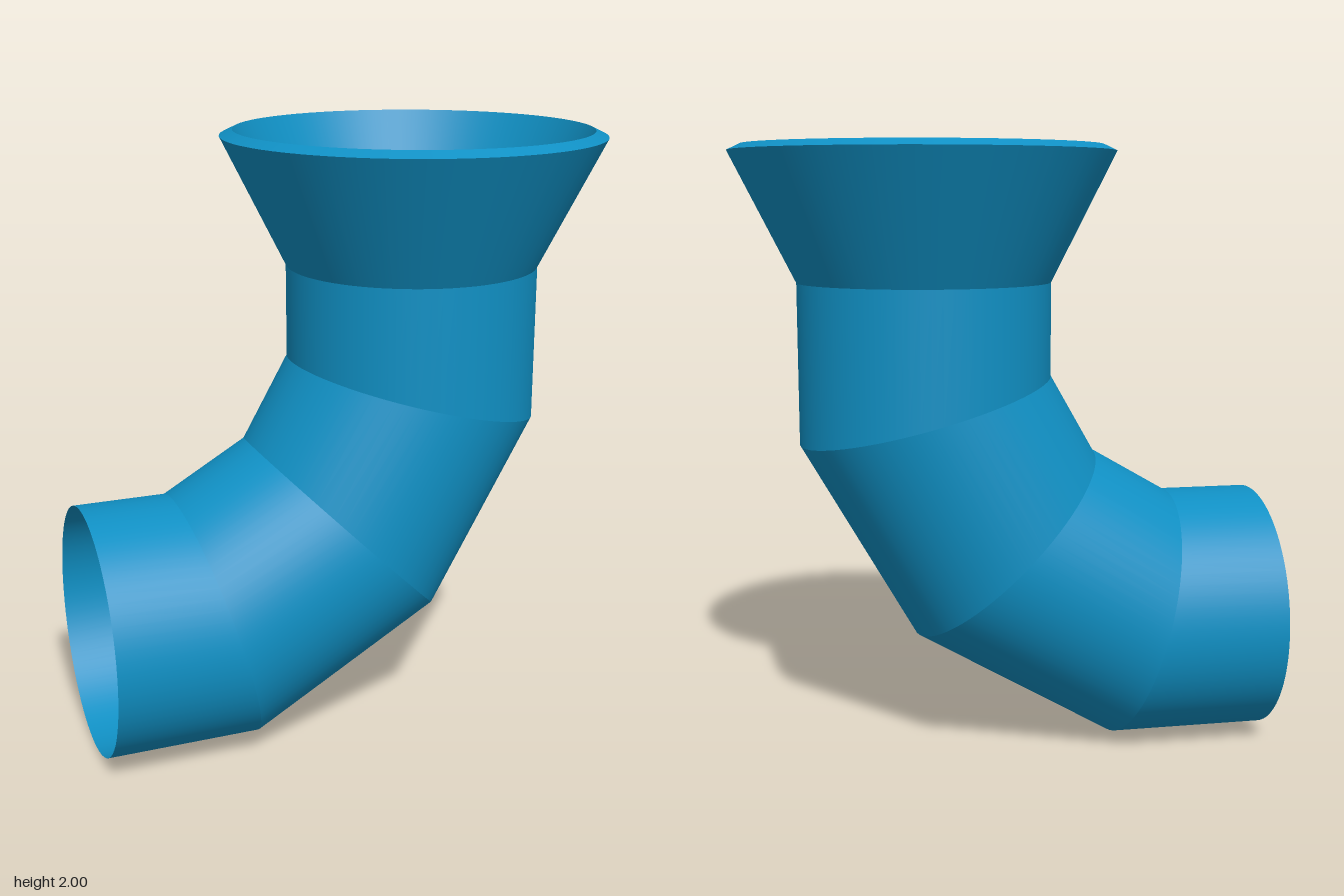
import * as THREE from 'three';

const SIDES = 72;
const R = 0.415;      // pipe radius
const AXIS_X = 0.255; // axis of the upright end

// Straight run of pipe between two slanted cuts; angles in degrees within the xy plane
function pipeRun(from, to, heading, cutFrom, cutTo) {
  const rad = THREE.MathUtils.degToRad;
  const pos = [], norm = [], index = [];
  const h = rad(heading);
  for (const [p, cutDeg] of [[from, cutFrom], [to, cutTo]]) {
    const cut = rad(cutDeg);
    const reach = R / Math.cos(cut - h);
    for (let i = 0; i <= SIDES; i++) {
      const t = (i / SIDES) * Math.PI * 2, c = Math.cos(t), s = Math.sin(t);
      pos.push(p[0] + Math.sin(cut) * reach * c, p[1] - Math.cos(cut) * reach * c, R * s);
      norm.push(Math.sin(h) * c, -Math.cos(h) * c, s);
    }
  }
  for (let i = 0; i < SIDES; i++) {
    const a = i, b = i + SIDES + 1;
    index.push(a, b, a + 1, b, b + 1, a + 1);
  }
  const g = new THREE.BufferGeometry();
  g.setAttribute('position', new THREE.Float32BufferAttribute(pos, 3));
  g.setAttribute('normal', new THREE.Float32BufferAttribute(norm, 3));
  g.setIndex(index);
  return g;
}

export function createModel() {
  const model = new THREE.Group();
  model.name = 'pipeElbow';
  const material = new THREE.MeshStandardMaterial({ color: 0x1090c4, side: THREE.DoubleSide });
  const add = (parent, name, geometry) => {
    const mesh = new THREE.Mesh(geometry, material);
    mesh.name = name;
    parent.add(mesh);
    return mesh;
  };

  // Thin-walled elbow: four straight runs turning 30 degrees at each mitre
  const elbow = new THREE.Group();
  elbow.name = 'elbow';
  model.add(elbow);
  const path = [[-0.885, 0.417], [-0.47, 0.417], [-0.0075, 0.685], [AXIS_X, 1.1425], [AXIS_X, 1.56]];
  const cuts = [0, 15, 45, 75, 90];
  const names = ['sideInlet', 'lowerBend', 'upperBend', 'uprightNeck'];
  names.forEach((name, i) =>
    add(elbow, name, pipeRun(path[i], path[i + 1], i * 30, cuts[i], cuts[i + 1])));

  // Thick flared funnel; each face is its own lathe so its edges stay sharp
  const funnel = new THREE.Group();
  funnel.name = 'funnel';
  funnel.position.x = AXIS_X;
  model.add(funnel);
  const profile = [[R, 1.56], [0.625, 1.98], [0.583, 2.0], [0.37, 1.58]]
    .map(([r, y]) => new THREE.Vector2(r, y));
  ['funnelOutside', 'funnelRim', 'funnelInside', 'funnelBase'].forEach((name, i) =>
    add(funnel, name, new THREE.LatheGeometry([profile[i], profile[(i + 1) % 4]], SIDES)));

  return model;
}
